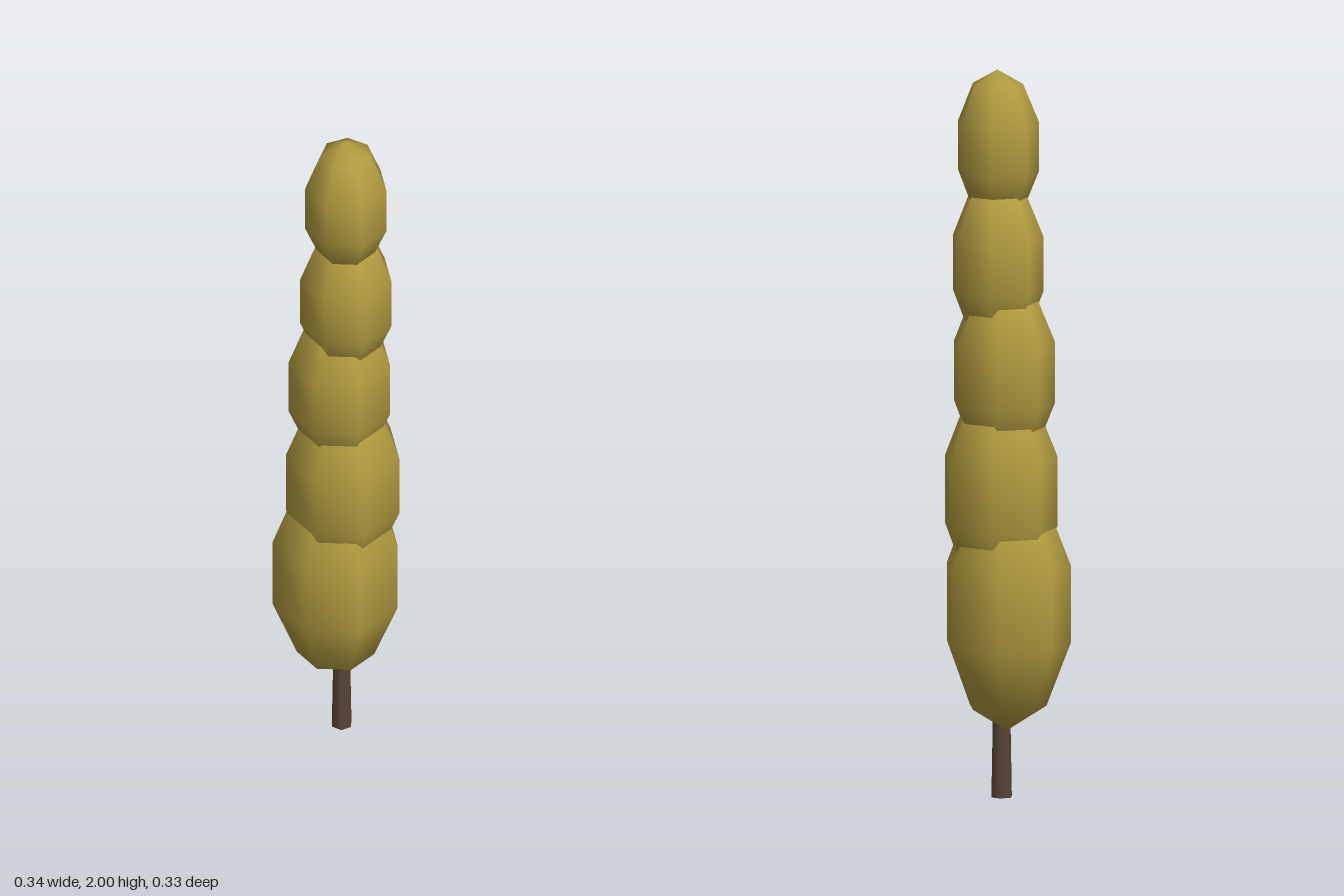
import * as THREE from 'three';

export function createModel() {
  const tree = new THREE.Group();
  tree.name = 'columnarTree';

  const foliage = new THREE.MeshStandardMaterial({ color: 0xb39c40 });
  foliage.name = 'mustard foliage';
  const bark = new THREE.MeshStandardMaterial({ color: 0x5a4535 });
  bark.name = 'dark bark';

  // Slightly tapered six-sided trunk
  const trunk = new THREE.Mesh(new THREE.CylinderGeometry(0.024, 0.03, 0.32, 6), bark);
  trunk.name = 'trunk';
  trunk.position.set(0.012, 0.16, 0.017);
  tree.add(trunk);

  // Stacked foliage clumps: centre x, y, z, radius, half height
  const clumps = [
    [-0.004, 0.53, 0.006, 0.183, 0.345],
    [0.016, 0.84, 0.008, 0.166, 0.305],
    [0.007, 1.167, 0.01, 0.149, 0.268],
    [0.025, 1.464, 0.017, 0.134, 0.241],
    [0.025, 1.786, 0.025, 0.12, 0.214],
  ];
  clumps.forEach(([x, y, z, radius, halfHeight], i) => {
    // Coarse seven-sided ellipsoid with a corner at the back
    const geometry = new THREE.SphereGeometry(1, 7, 5);
    geometry.rotateY(-Math.PI / 2);
    geometry.scale(radius, halfHeight, radius);
    const clump = new THREE.Mesh(geometry, foliage);
    clump.name = `foliageClump${i + 1}`;
    clump.position.set(x, y, z);
    tree.add(clump);
  });

  return tree;
}
